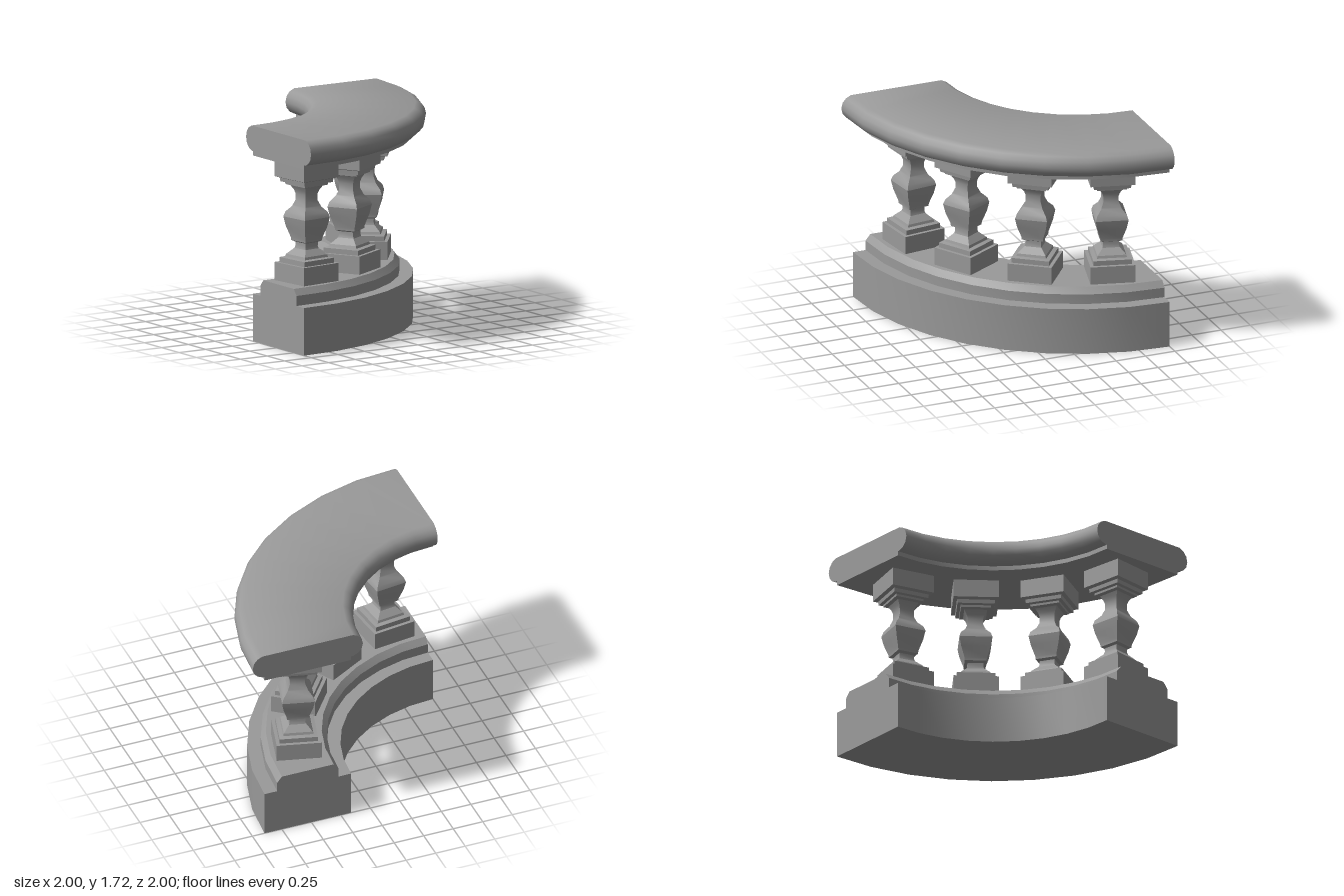
import * as THREE from 'three';
import { toCreasedNormals } from 'three/addons/utils/BufferGeometryUtils.js';

const MID = 1.53; // radius of the balustrade's centre line
const STONE = 0x9a9a9a;
const stone = new THREE.MeshStandardMaterial({ color: STONE });
const stoneDouble = new THREE.MeshStandardMaterial({ color: STONE, side: THREE.DoubleSide });

// Sweep a symmetric section through a quarter turn and close both ends.
// half: [half width, y] pairs from bottom to top of the outer side.
function curvedBar(name, half, crease) {
  const group = new THREE.Group();
  group.name = name;
  const outer = half.map(([w, y]) => new THREE.Vector2(MID + w, y));
  const inner = half.map(([w, y]) => new THREE.Vector2(MID - w, y)).reverse();
  const section = [...outer, ...inner];
  const sweep = new THREE.LatheGeometry([...section, section[0].clone()], 9, 0, Math.PI / 2);
  const body = new THREE.Mesh(toCreasedNormals(sweep, crease), stone);
  body.name = name + 'Body';
  group.add(body);
  const endGeometry = new THREE.ShapeGeometry(new THREE.Shape(section));
  [-Math.PI / 2, 0].forEach((turn) => {
    const end = new THREE.Mesh(endGeometry, stoneDouble);
    end.name = name + 'End';
    end.rotation.y = turn;
    group.add(end);
  });
  return group;
}

// Square baluster: [half width, y] from foot to head
const BALUSTER = [
  [0, 0.51], [0.179, 0.51], [0.179, 0.655], [0.152, 0.655], [0.152, 0.695],
  [0.12, 0.702], [0.114, 0.722], [0.068, 0.77], [0.062, 0.79], [0.063, 0.82],
  [0.086, 0.832], [0.088, 0.855], [0.116, 0.945], [0.13, 1.02], [0.118, 1.06],
  [0.08, 1.105], [0.077, 1.115], [0.061, 1.155], [0.061, 1.205], [0.07, 1.235],
  [0.09, 1.27], [0.118, 1.278], [0.12, 1.295], [0.146, 1.3], [0.15, 1.33],
  [0.179, 1.34], [0.179, 1.485], [0, 1.485],
];

function balusterGeometry() {
  const points = BALUSTER.map(([w, y]) => new THREE.Vector2(w * Math.SQRT2, y));
  const lathe = new THREE.LatheGeometry(points, 4).rotateY(Math.PI / 4);
  return toCreasedNormals(lathe, 0.45);
}

export function createModel() {
  const model = new THREE.Group();
  model.name = 'curvedBalustrade';

  // Plinth and its chamfered step
  const plinth = curvedBar('plinth', [[0.367, 0], [0.367, 0.38]], 0.5);
  const step = curvedBar('plinthStep', [[0.26, 0.38], [0.26, 0.46], [0.22, 0.51]], 0.5);

  // Plate under the rail, and the rounded handrail
  const plate = curvedBar('railPlate', [[0.367, 1.485], [0.367, 1.525]], 0.5);
  const rail = curvedBar('handrail', [
    [0.385, 1.52], [0.427, 1.54], [0.456, 1.574], [0.467, 1.62],
    [0.456, 1.667], [0.427, 1.702], [0.385, 1.722],
  ], 0.9);
  model.add(plinth, step, plate, rail);

  // Four balusters spaced around the arc
  const geometry = balusterGeometry();
  for (let i = 0; i < 4; i++) {
    const angle = THREE.MathUtils.degToRad(10.65 + 22.2 * i);
    const baluster = new THREE.Mesh(geometry, stone);
    baluster.name = 'baluster';
    baluster.position.set(1.527 * Math.sin(angle), 0, 1.527 * Math.cos(angle));
    baluster.rotation.y = THREE.MathUtils.degToRad(7.5 + 22.5 * i);
    model.add(baluster);
  }

  // Arc centre sits at the back right corner
  model.children.forEach((part) => {
    part.position.x -= 1;
    part.position.z -= 1;
  });
  return model;
}
